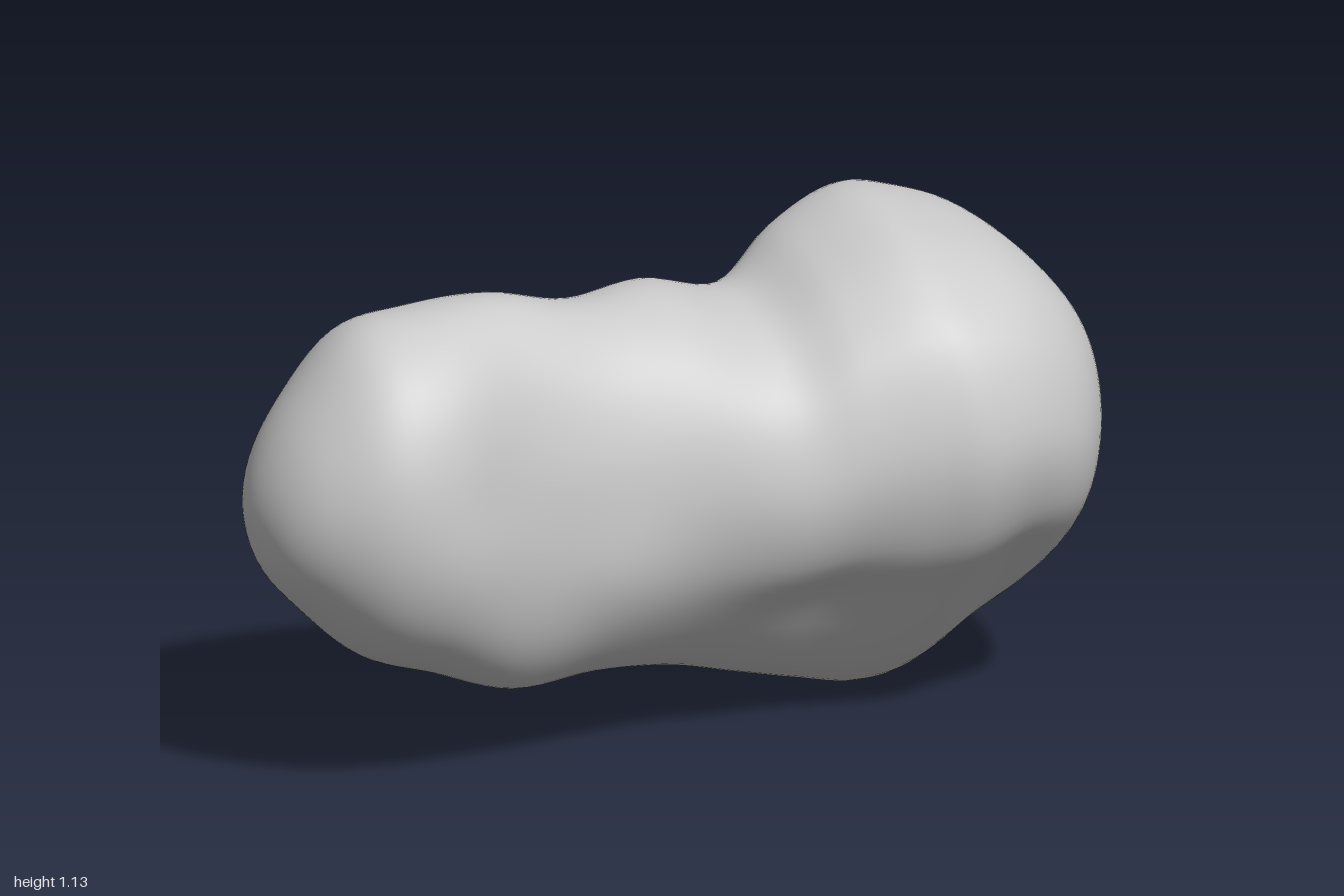
import * as THREE from 'three';
import { mergeVertices } from 'three/addons/utils/BufferGeometryUtils.js';

// Stations along the body: x, top y, bottom y, front z, back z
const STATIONS = [
  [-1, .65, .65, .08, .08],
  [-.97, .78, .52, .21, -.04],
  [-.89, .91, .42, .31, -.13],
  [-.76, 1.04, .305, .38, -.205],
  [-.6, 1.065, .25, .38, -.215],
  [-.4, 1.06, .175, .295, -.21],
  [-.2, 1.01, .18, .285, -.24],
  [0, 1.01, .145, .3, -.3],
  [.2, .965, .085, .34, -.32],
  [.35, 1.06, .035, .37, -.38],
  [.5, 1.125, .005, .4, -.41],
  [.62, 1.11, .035, .415, -.42],
  [.77, 1.055, .155, .375, -.385],
  [.89, .95, .31, .29, -.29],
  [.97, .82, .48, .15, -.14],
  [1, .65, .65, 0, 0],
];

// Unit cross-sections as (z, y) loops: top, front, bottom, back
const WIDE = [[-.36, 1], [.18, .95], [.56, .83], [.86, .6], [1, .2], [.87, -.17], [.56, -.45], [.05, -.84],
  [-.36, -1], [-.64, -.94], [-.83, -.8], [-.95, -.5], [-1, -.18], [-.97, .25], [-.93, .65], [-.72, .93]];
const SLIM = [[-.05, 1], [.4, .93], [.75, .7], [.95, .35], [1, 0], [.95, -.36], [.78, -.68], [.48, -.92],
  [.15, -1], [-.25, -.95], [-.62, -.77], [-.9, -.42], [-1, -.04], [-.97, .32], [-.87, .64], [-.54, .91]];

// Shallow hollows (negative) and swellings: x, y, z, radius, amount
const BUMPS = [
  [.28, .3, .2, .15, -.02], [.68, .62, -.42, .16, -.015], [.52, .97, -.27, .14, .015],
  [-.55, .72, .35, .13, -.012], [-.2, .45, .28, .13, .012], [.12, .7, -.27, .15, -.02],
  [-.42, .6, -.2, .12, -.01],
];

const catmull = (a, b, c, d, t) =>
  b + .5 * t * (c - a + t * (2 * a - 5 * b + 4 * c - d + t * (3 * (b - c) + d - a)));

// Mirrored copies past each end keep the tips round
const flip = ([x, t, b, f, k]) => [x, b, t, k, f];
const rows = [flip(STATIONS[1]), ...STATIONS, flip(STATIONS[STATIONS.length - 2])];

function stationAt(u) {
  const i = Math.min(Math.floor(u), STATIONS.length - 2);
  return STATIONS[0].map((_, k) =>
    catmull(rows[i][k], rows[i + 1][k], rows[i + 2][k], rows[i + 3][k], u - i));
}

function loopAt(loop, v) {
  const i = Math.floor(v), n = loop.length;
  return [0, 1].map(k => catmull(loop[(i + n - 1) % n][k], loop[i % n][k],
    loop[(i + 1) % n][k], loop[(i + 2) % n][k], v - i));
}

function bodyGeometry(sub = 6, around = 80) {
  const rings = (STATIONS.length - 1) * sub;
  const positions = [], index = [];
  const p = new THREE.Vector3(), out = new THREE.Vector3();
  for (let i = 0; i <= rings; i++) {
    const [x, top, bottom, front, back] = stationAt(i / sub);
    const cy = (top + bottom) / 2, cz = (front + back) / 2;
    const wide = THREE.MathUtils.smoothstep(x, -.35, .4);
    const round = Math.max(1 - THREE.MathUtils.smoothstep(x, -.9, -.4),
      THREE.MathUtils.smoothstep(x, .7, 1));
    for (let j = 0; j < around; j++) {
      const v = j / around * 16, a = j / around * Math.PI * 2;
      const s = loopAt(SLIM, v), w = loopAt(WIDE, v), e = [Math.sin(a), Math.cos(a)];
      const [z, y] = [0, 1].map(k => {
        const mixed = THREE.MathUtils.lerp(s[k], w[k], wide);
        return THREE.MathUtils.lerp(mixed, e[k], round);
      });
      p.set(x, cy + y * (top - bottom) / 2, cz + z * (front - back) / 2);
      out.set(0, p.y - cy, p.z - cz).normalize();
      let push = 0;
      for (const [bx, by, bz, r, amount] of BUMPS) {
        const d2 = (p.x - bx) ** 2 + (p.y - by) ** 2 + (p.z - bz) ** 2;
        push += amount * Math.exp(-d2 / (r * r));
      }
      // The tips stay closed to a point
      if (i > 0 && i < rings) p.addScaledVector(out, push);
      positions.push(p.x, p.y, p.z);
      if (i < rings) {
        const n = (j + 1) % around, r0 = i * around, r1 = r0 + around;
        if (i > 0) index.push(r0 + j, r0 + n, r1 + n);
        if (i < rings - 1) index.push(r0 + j, r1 + n, r1 + j);
      }
    }
  }
  const geometry = new THREE.BufferGeometry();
  geometry.setAttribute('position', new THREE.Float32BufferAttribute(positions, 3));
  geometry.setIndex(index);
  // Weld the tips so the shading is smooth all over
  const welded = mergeVertices(geometry, 1e-4);
  welded.computeVertexNormals();
  return welded;
}

export function createModel() {
  const group = new THREE.Group();
  group.name = 'asteroid';
  const body = new THREE.Mesh(bodyGeometry(), new THREE.MeshStandardMaterial({ color: 0xcccccc }));
  body.name = 'twoLobedBody';
  group.add(body);
  return group;
}
